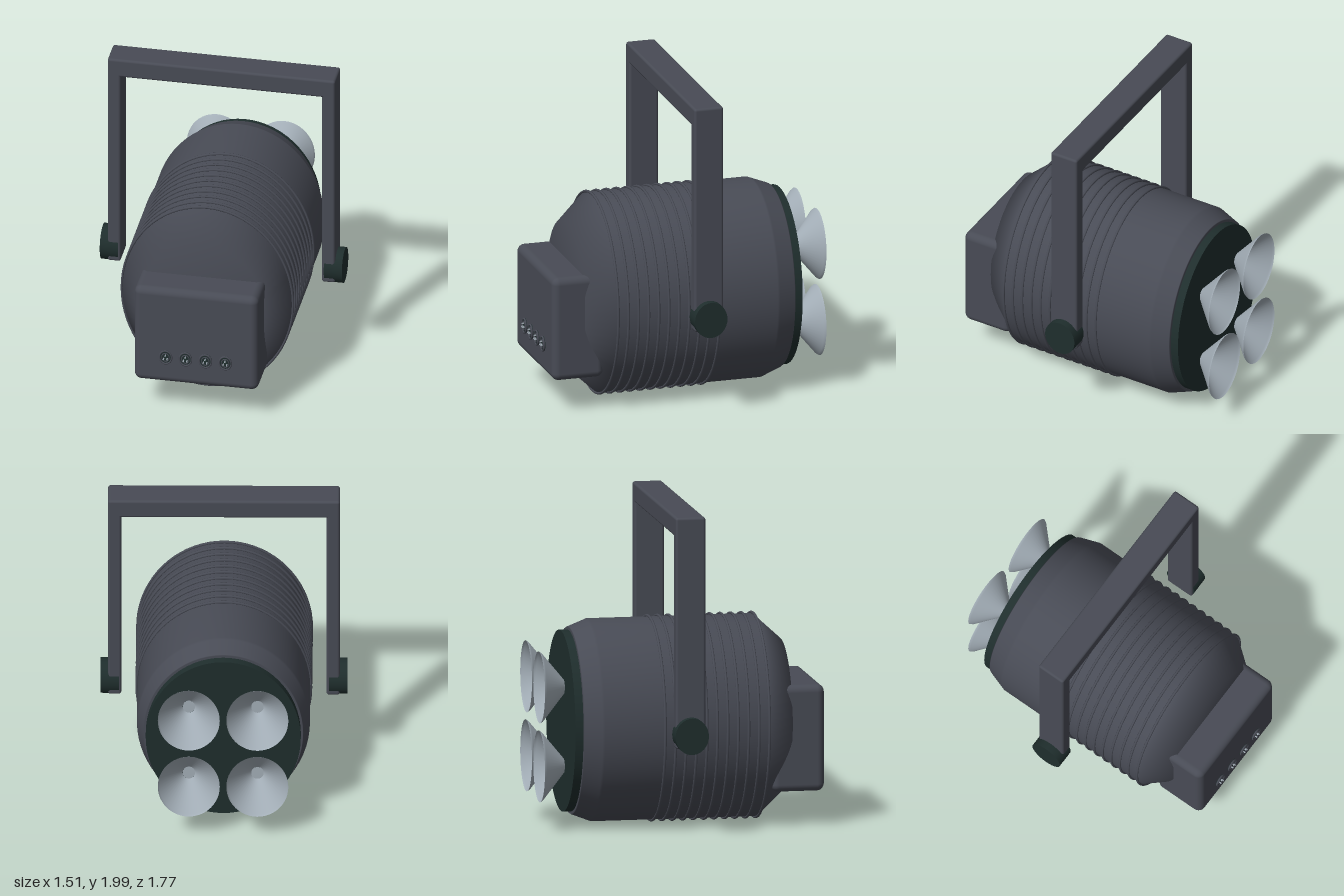
import * as THREE from 'three';
import { RoundedBoxGeometry } from 'three/addons/geometries/RoundedBoxGeometry.js';

const housing = new THREE.MeshStandardMaterial({ color: 0x484b55 });
housing.name = 'slate housing';
const dark = new THREE.MeshStandardMaterial({ color: 0x1f2e2d });
dark.name = 'dark green black';
const metal = new THREE.MeshStandardMaterial({ color: 0xa3aeb7, side: THREE.DoubleSide });
metal.name = 'reflector grey';

// Elliptical cross-section of the lamp body
const RX = 0.53, RY = 0.625, CY = 0.647;

export function createModel() {
  const model = new THREE.Group();

  const add = (name, geometry, material, x = 0, y = 0, z = 0, parent = model) => {
    const mesh = new THREE.Mesh(geometry, material);
    mesh.name = name;
    mesh.position.set(x, y, z);
    parent.add(mesh);
    return mesh;
  };

  // Lathe around z from [radius, z] pairs, squashed to an ellipse
  const turned = (profile, sx, sy, segments = 64) => {
    const points = profile.map(([r, z]) => new THREE.Vector2(r, z));
    return new THREE.LatheGeometry(points, segments).rotateX(Math.PI / 2).scale(sx, sy, 1);
  };

  // Lamp body with tapered ends
  add('body', turned([
    [0, -0.66], [0.92, -0.66], [0.925, -0.655], [0.99, -0.55], [1, -0.535],
    [1, 0.49], [0.75, 0.66], [0, 0.66],
  ], RX, RY), housing, 0, CY, 0);

  // Cooling ribs
  const ribs = new THREE.Group();
  ribs.name = 'coolingRibs';
  model.add(ribs);
  for (let i = 0; i < 11; i++) {
    const rib = new THREE.TorusGeometry(1.008, 0.014, 8, 72).scale(RX, RY, 0.6);
    add('coolingRib', rib, housing, 0, CY, 0.49 - i * 0.065, ribs);
  }

  // Rear plate that carries the reflectors
  const plate = new THREE.CylinderGeometry(1, 1, 0.055, 64).rotateX(Math.PI / 2);
  add('lampPlate', plate.scale(0.475, 0.56, 1), dark, 0, CY, -0.6825);

  // Four open reflector cones, closed at the narrow end
  for (const x of [-0.21, 0.21]) {
    for (const y of [0.403, 0.893]) {
      const reflector = new THREE.Group();
      reflector.name = 'reflector';
      reflector.position.set(x, y, 0);
      model.add(reflector);
      add('reflectorCone', turned([[1, -0.886], [0.96, -0.872], [0.2, -0.733]], 0.19, 0.222, 48),
        metal, 0, 0, 0, reflector);
      add('reflectorBase', new THREE.CircleGeometry(0.2, 24).scale(0.19, 0.222, 1),
        metal, 0, 0, -0.733, reflector);
    }
  }

  // Connection box on the front
  add('connectionBox', new RoundedBoxGeometry(0.775, 0.66, 0.33, 5, 0.045), housing, 0, 0.552, 0.698);

  // Row of round sockets with pins
  for (let i = 0; i < 4; i++) {
    const socket = new THREE.Group();
    socket.name = 'socket';
    socket.position.set(-0.186 + i * 0.124, 0.41, 0.863);
    socket.scale.set(0.85, 1, 1);
    model.add(socket);
    add('socketFace', new THREE.CylinderGeometry(0.046, 0.048, 0.012, 28).rotateX(Math.PI / 2),
      dark, 0, 0, 0.002, socket);
    add('socketRing', new THREE.TorusGeometry(0.044, 0.006, 8, 28), housing, 0, 0, 0.007, socket);
    add('socketInnerRing', new THREE.TorusGeometry(0.028, 0.004, 6, 24), housing, 0, 0, 0.009, socket);
    for (let k = 0; k < 3; k++) {
      const a = Math.PI / 2 + (k * Math.PI * 2) / 3;
      add('socketPin', new THREE.CylinderGeometry(0.005, 0.005, 0.022, 10).rotateX(Math.PI / 2),
        metal, Math.cos(a) * 0.015, Math.sin(a) * 0.015, 0.012, socket);
    }
  }

  // Hanging yoke: crossbar, two legs and their pivot knobs
  const yoke = new THREE.Group();
  yoke.name = 'yoke';
  yoke.position.z = -0.036;
  model.add(yoke);
  add('yokeCrossbar', new RoundedBoxGeometry(1.42, 0.122, 0.185, 3, 0.015), housing, 0, 1.939, 0, yoke);
  for (const side of [-1, 1]) {
    add('yokeLeg', new RoundedBoxGeometry(0.082, 1.43, 0.185, 3, 0.015), housing,
      side * 0.669, 1.28, 0, yoke);
    const knob = new THREE.CylinderGeometry(1, 1, 0.113, 32).rotateZ(Math.PI / 2);
    add('pivotKnob', knob.scale(1, 0.113, 0.104), dark, side * 0.699, 0.648, 0, yoke);
  }

  return model;
}
